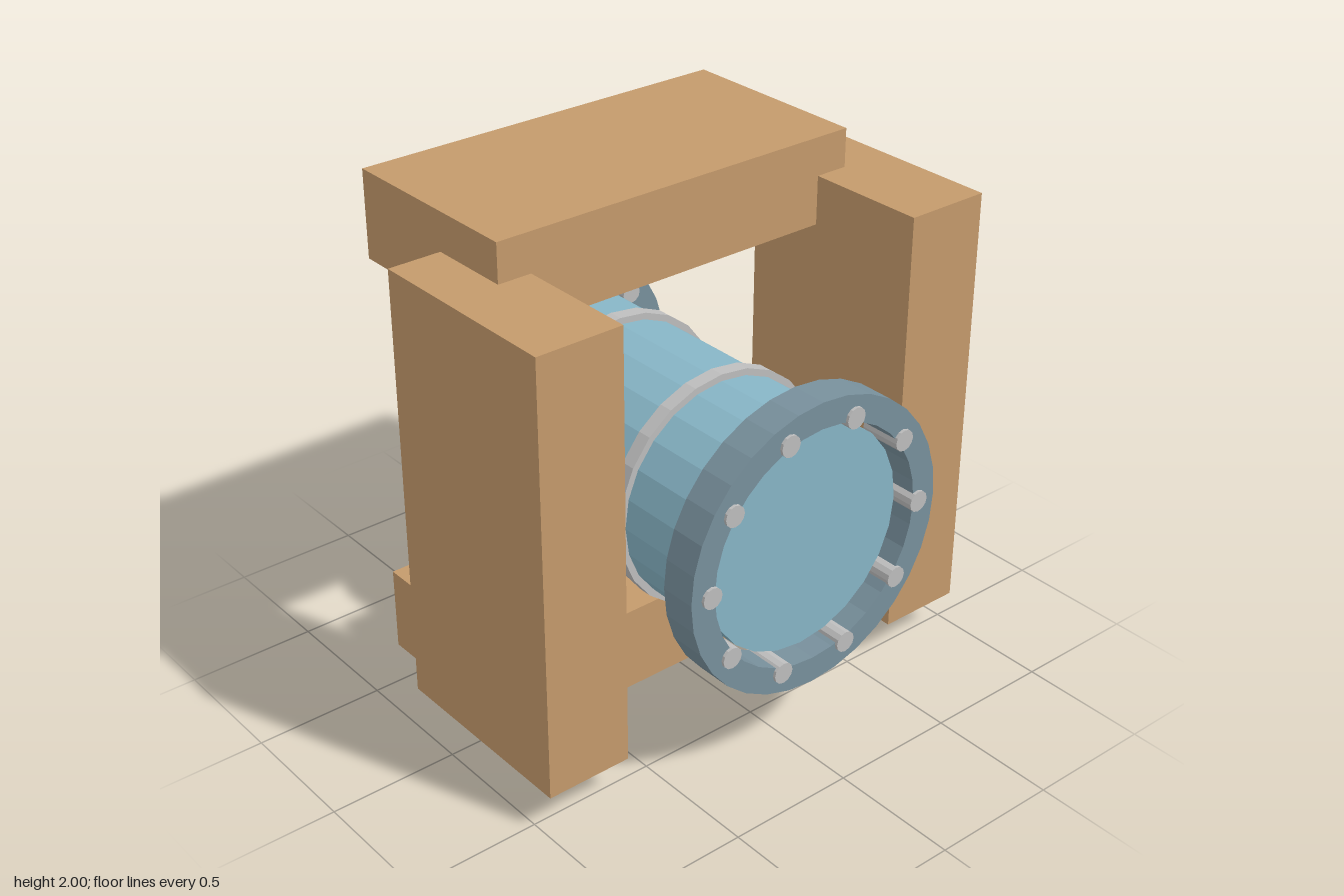
import * as THREE from 'three';

const material = (name, color) => {
  const m = new THREE.MeshStandardMaterial({ color, flatShading: true });
  m.name = name;
  return m;
};

export function createModel() {
  const model = new THREE.Group();
  model.name = 'pipeInTimberFrame';
  const wood = material('wood', 0xc49a6c);
  const pipeBlue = material('pipeBlue', 0x87b5c6);
  const flangeSteel = material('flangeSteel', 0x78909c);
  const brightMetal = material('brightMetal', 0xbdbdbd);

  const add = (parent, name, geometry, mat, x, y, z) => {
    const mesh = new THREE.Mesh(geometry, mat);
    mesh.name = name;
    mesh.position.set(x, y, z);
    parent.add(mesh);
    return mesh;
  };

  // Timber beams, two lying across and two standing
  const lying = new THREE.BoxGeometry(0.79, 0.34, 1.545);
  add(model, 'bottomBeam', lying, wood, -0.305, 0.17, 0);
  add(model, 'topBeam', lying, wood, -0.305, 1.83, 0);
  const standing = new THREE.BoxGeometry(0.81, 1.7, 0.34);
  add(model, 'frontBeam', standing, wood, 0.167, 1, 0.81);
  add(model, 'backBeam', standing, wood, 0.167, 1, -0.81);

  // Geometry helpers for round parts lying along x
  const rod = (radius, length, sides) =>
    new THREE.CylinderGeometry(radius, radius, length, sides).rotateZ(Math.PI / 2);
  const ring = (inner, outer, width, sides) => {
    const h = width / 2;
    const profile = [[inner, -h], [outer, -h], [outer, h], [inner, h], [inner, -h]]
      .map(([r, y]) => new THREE.Vector2(r, y));
    return new THREE.LatheGeometry(profile, sides).rotateZ(Math.PI / 2);
  };

  // Pipe with closed ends set back inside the flanges
  const pipe = new THREE.Group();
  pipe.name = 'pipe';
  pipe.position.y = 0.89;
  model.add(pipe);
  add(pipe, 'pipeBody', rod(0.434, 1.51, 24), pipeBlue, -0.003, 0, 0);

  const flange = ring(0.463, 0.565, 0.14, 32);
  const band = ring(0.425, 0.46, 0.056, 24);
  const bolt = rod(0.041, 0.162, 12);
  for (const side of [-1, 1]) {
    const label = side > 0 ? 'left' : 'right';
    const x = side * 0.752 - 0.003;
    add(pipe, label + 'Flange', flange, flangeSteel, x, 0, 0);
    add(pipe, label + 'Band', band, brightMetal, side * 0.283, 0, 0);

    // Ring of ten bolts through the flange
    const bolts = new THREE.Group();
    bolts.name = label + 'Bolts';
    pipe.add(bolts);
    for (let i = 0; i < 10; i++) {
      const a = (i / 10) * Math.PI * 2;
      add(bolts, 'bolt', bolt, brightMetal, x, 0.48 * Math.sin(a), 0.48 * Math.cos(a));
    }
  }
  return model;
}
